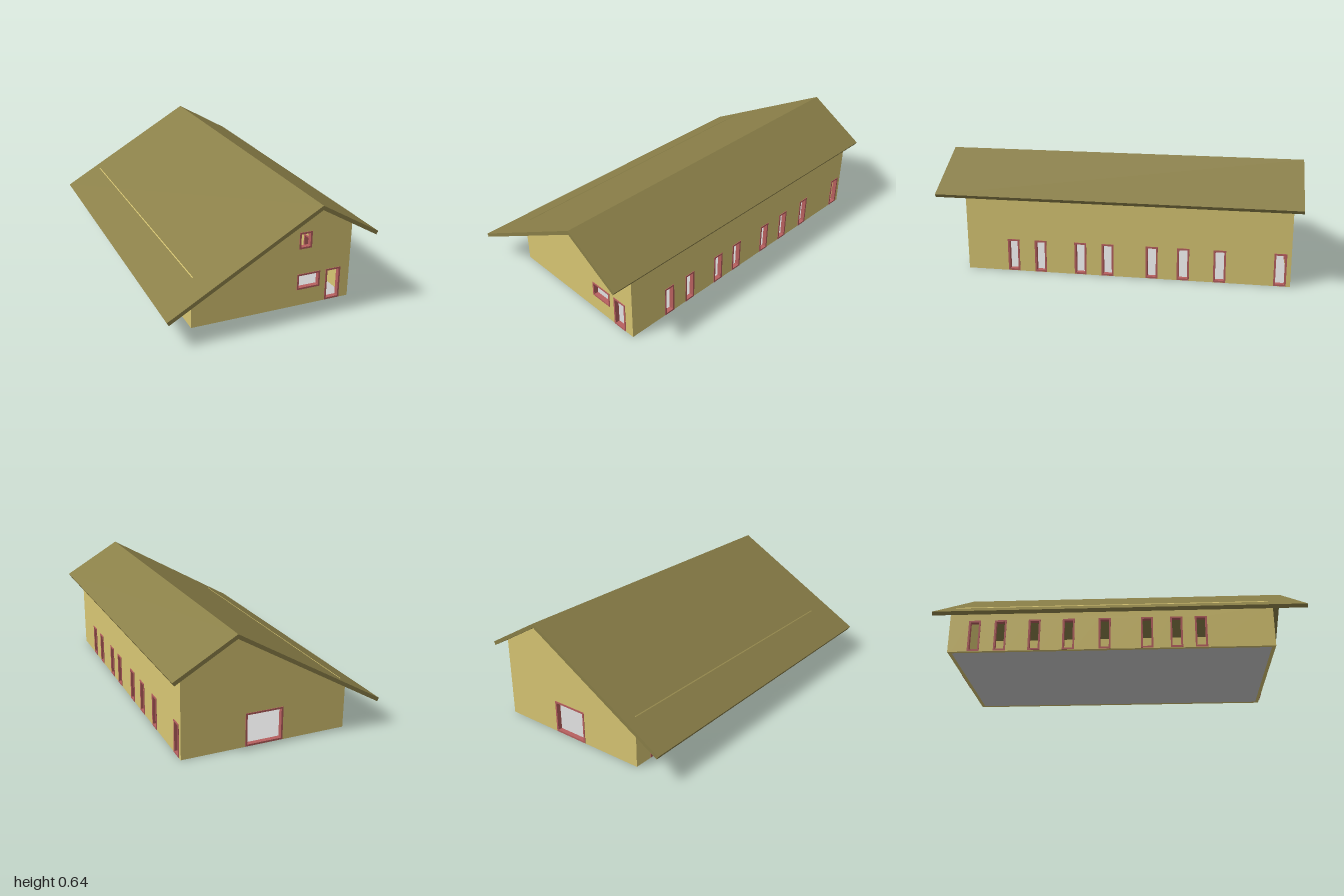
import * as THREE from 'three';

const mat = (color) => new THREE.MeshStandardMaterial({ color, flatShading: true });
const WALL = mat(0xd8c673), ROOF = mat(0x8a7f48), FRAME = mat(0xb8605f), FLOOR = mat(0xcccccc);

// House dimensions
const X0 = -0.40, X1 = 0.525, Z0 = -0.95, Z1 = 0.845, T = 0.02;
const RIDGE_X = 0.247, RIDGE_Y = 0.613, SLOPE = 0.577;
const under = (x) => RIDGE_Y - Math.abs(x - RIDGE_X) * SLOPE;

const poly = (pts) => new THREE.Shape(pts.map(([x, y]) => new THREE.Vector2(x, y)));
const rect = (a, b, c, d) => [[a, c], [b, c], [b, d], [a, d]];
const extrude = (shape, depth) => new THREE.ExtrudeGeometry(shape, { depth, bevelEnabled: false });

function add(parent, name, geometry, material) {
  const mesh = new THREE.Mesh(geometry, material);
  mesh.name = name;
  parent.add(mesh);
  return mesh;
}

// Wall panel with framed openings; each opening is [u0, u1, y0, y1]
function wall(name, outline, openings) {
  const group = new THREE.Group();
  group.name = name;
  const shape = poly(outline);
  for (const [a, b, c, d] of openings) {
    shape.holes.push(poly(rect(a, b, c, d)));
    const w = 0.01, frame = poly(rect(a, b, c, d));
    frame.holes.push(poly(rect(a + w, b - w, c + w, d - w)));
    add(group, 'openingFrame', extrude(frame, T + 0.006), FRAME).position.z = -0.003;
  }
  add(group, 'wallPanel', extrude(shape, T), WALL);
  return group;
}

// Long wall running along z, its top cut to two heights (at low x and high x)
function sideWall(name, x, topLow, topHigh, doorStarts) {
  const doors = doorStarts.map((z) => [-z, -z + 0.067, 0.002, 0.185]);
  const group = wall(name, rect(-(Z1 - T), -(Z0 + T), 0, topLow), doors);
  const pos = group.getObjectByName('wallPanel').geometry.attributes.position;
  for (let i = 0; i < pos.count; i++) {
    if (pos.getY(i) > topLow - 0.001 && pos.getZ(i) > T / 2) pos.setY(i, topHigh);
  }
  group.rotation.y = Math.PI / 2;
  group.position.x = x;
  return group;
}

export function createModel() {
  const model = new THREE.Group();
  model.name = 'house';

  // Gable walls
  const gable = [[X0, 0], [X1, 0], [X1, under(X1)], [RIDGE_X, RIDGE_Y], [X0, under(X0)]];
  const front = wall('frontWall', gable, [
    [0.21, 0.285, 0.335, 0.43],
    [0.207, 0.345, 0.095, 0.187],
    [0.38, 0.47, 0.002, 0.187],
  ]);
  front.position.z = Z1 - T;
  const back = wall('backWall', gable, [[-0.037, 0.175, 0.002, 0.187]]);
  back.position.z = Z0;

  // Side walls with rows of doors, given by their front edge in z;
  // the low wall's inner edge just pierces the roof
  const right = sideWall('highSideWall', X1 - T, under(X1 - T), under(X1),
    [0.612, 0.457, 0.23, 0.077, -0.168, -0.34, -0.538, -0.86]);
  const left = sideWall('lowSideWall', X0, under(X0), 0.279,
    [0.48, 0.345, 0.183, -0.05, -0.25, -0.44, -0.63, -0.775]);
  model.add(front, back, right, left);

  // Floor slab between the walls
  const floor = add(model, 'floor',
    new THREE.BoxGeometry(X1 - X0 - 2 * T, 0.004, Z1 - Z0 - 2 * T), FLOOR);
  floor.position.set((X0 + X1) / 2, 0.002, (Z0 + Z1) / 2);

  // Two roof slabs meeting at the ridge, eaves cut square to the slope
  const top = RIDGE_Y + 0.024;
  for (const [name, eave, side] of [['longRoof', -0.585, -1], ['shortRoof', 0.583, 1]]) {
    const eaveY = top - Math.abs(eave - RIDGE_X) * SLOPE;
    const section = poly([[RIDGE_X, top], [eave, eaveY],
      [eave - side * 0.0104, eaveY - 0.018], [RIDGE_X, RIDGE_Y]]);
    add(model, name, extrude(section, 2), ROOF).position.z = -1;
  }
  return model;
}
